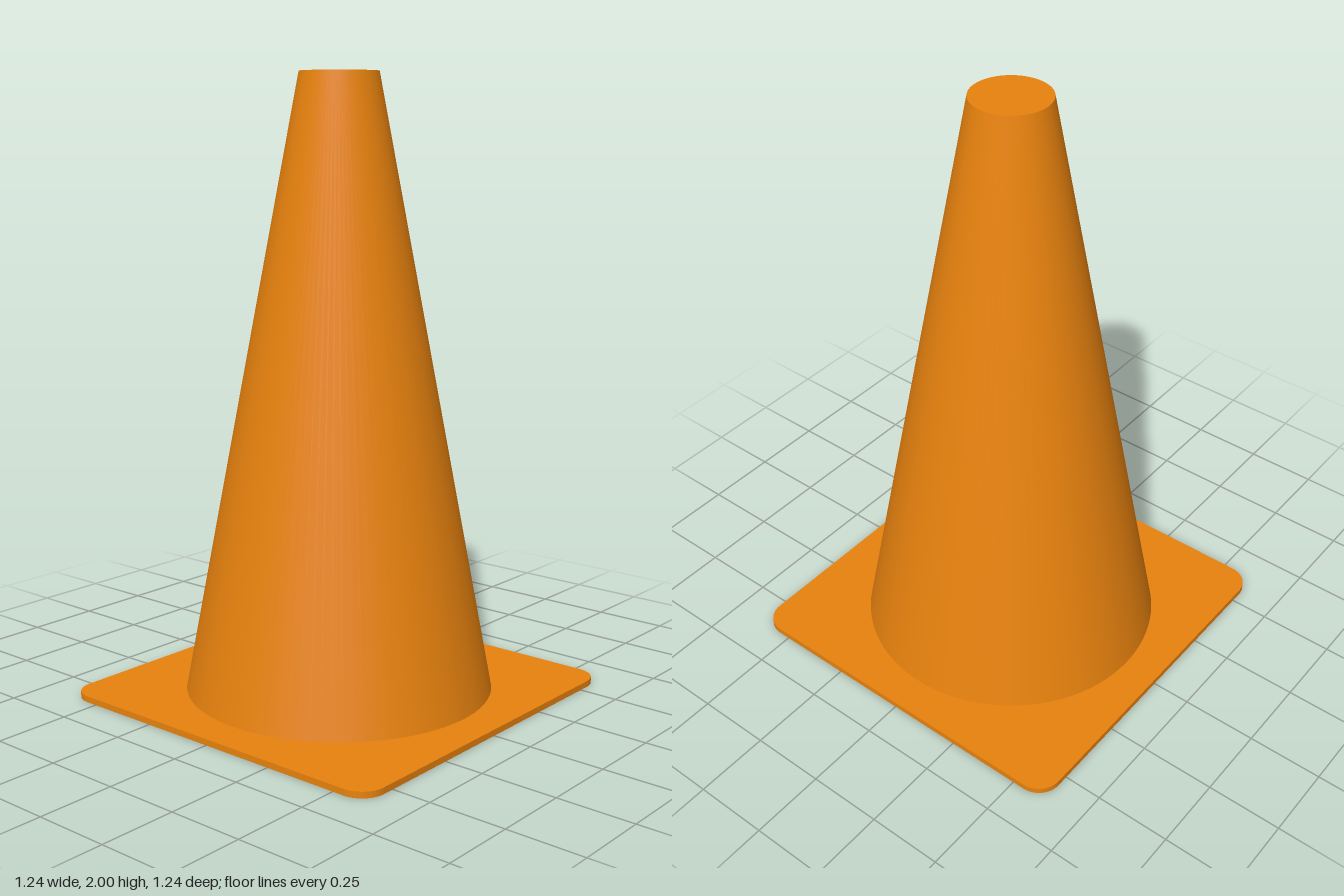
import * as THREE from 'three';
import { toCreasedNormals } from 'three/addons/utils/BufferGeometryUtils.js';

const SEGMENTS = 96;
const HALF = 0.62, CORNER = 0.08, THICK = 0.02;
const BOTTOM_R = 0.5, TOP_R = 0.125, HEIGHT = 2, WALL = 0.022;

export function createModel() {
  const model = new THREE.Group();
  model.name = 'trafficCone';
  const material = new THREE.MeshStandardMaterial({ color: 0xe8820e });

  function add(name, geometry) {
    const mesh = new THREE.Mesh(geometry, material);
    mesh.name = name;
    model.add(mesh);
    return mesh;
  }
  const lathe = (...points) =>
    new THREE.LatheGeometry(points.map(([r, y]) => new THREE.Vector2(r, y)), SEGMENTS);

  // Thin square base with rounded corners and a round opening
  const outline = new THREE.Shape();
  const c = HALF - CORNER;
  [[c, c], [-c, c], [-c, -c], [c, -c]].forEach(([x, y], i) =>
    outline.absarc(x, y, CORNER, i * Math.PI / 2, (i + 1) * Math.PI / 2, false));
  outline.closePath();
  const opening = new THREE.Path();
  opening.absarc(0, 0, BOTTOM_R - WALL, 0, Math.PI * 2, true);
  outline.holes.push(opening);
  const base = new THREE.ExtrudeGeometry(outline, { depth: THICK, bevelEnabled: false, curveSegments: 48 });
  base.rotateX(-Math.PI / 2);
  add('base', toCreasedNormals(base, Math.PI / 6));

  // Tapered body and its flat closed top
  add('coneBody', lathe([BOTTOM_R, THICK], [TOP_R, HEIGHT]));
  add('coneTop', lathe([TOP_R, HEIGHT], [0, HEIGHT]));

  // Hollow inside, open at the bottom
  const innerTop = HEIGHT - THICK;
  add('innerWall', lathe([TOP_R - WALL, innerTop], [BOTTOM_R - WALL, THICK]));
  add('innerCeiling', lathe([0, innerTop], [TOP_R - WALL, innerTop]));

  return model;
}
